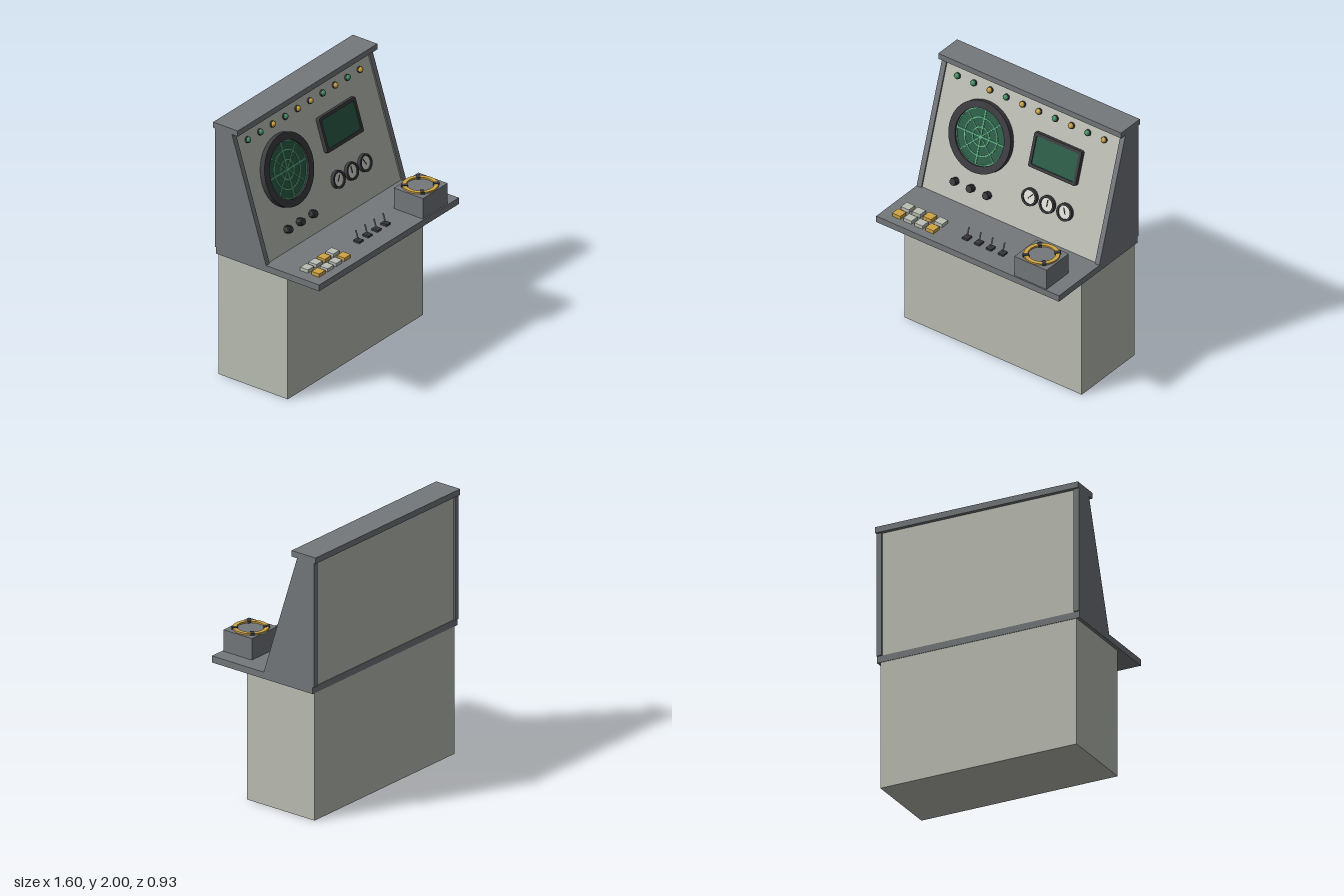
import * as THREE from 'three';

const mat = (name, color) => Object.assign(new THREE.MeshStandardMaterial({ color }), { name });

export function createModel() {
  const cream = mat('cream paint', 0xbcbfb5);
  const grey = mat('grey trim', 0x74787c);
  const dark = mat('dark plastic', 0x3c3c40);
  const screenGreen = mat('screen green', 0x2c5c48);
  const lineGreen = mat('trace green', 0x62b484);
  const lampGreen = mat('lamp green', 0x479468);
  const amber = mat('amber', 0xcfa444);
  const white = mat('dial white', 0xdcdcd4);
  const metal = mat('lever metal', 0x96999c);

  const root = new THREE.Group();
  root.name = 'controlConsole';

  const add = (parent, name, geo, material, x = 0, y = 0, z = 0) => {
    const m = new THREE.Mesh(geo, material);
    m.name = name;
    m.position.set(x, y, z);
    parent.add(m);
    return m;
  };
  // box given by its minimum and maximum corners
  const span = (name, material, x0, x1, y0, y1, z0, z1) =>
    add(root, name, new THREE.BoxGeometry(x1 - x0, y1 - y0, z1 - z0), material,
      (x0 + x1) / 2, (y0 + y1) / 2, (z0 + z1) / 2);
  // side profile of [z, y] points, extruded across x
  const profile = (name, material, pts, x0, x1) => {
    const shape = new THREE.Shape(pts.map(([z, y]) => new THREE.Vector2(-z, y)));
    const geo = new THREE.ExtrudeGeometry(shape, { depth: x1 - x0, bevelEnabled: false });
    geo.rotateY(Math.PI / 2); // shape x becomes -z, depth becomes +x
    return add(root, name, geo, material, x0);
  };
  // flat ring facing +z
  const ringGeo = (outer, inner, depth, seg = 24) => {
    const s = new THREE.Shape().absarc(0, 0, outer, 0, Math.PI * 2);
    s.holes.push(new THREE.Path().absarc(0, 0, inner, 0, Math.PI * 2, true));
    return new THREE.ExtrudeGeometry(s, { depth, bevelEnabled: false, curveSegments: seg });
  };
  // disc standing on z = 0 and facing +z
  const discGeo = (r, depth, seg = 32, rTop = r) =>
    new THREE.CylinderGeometry(rTop, r, depth, seg).rotateX(Math.PI / 2).translate(0, 0, depth / 2);
  const roundRect = (S, w, h, r) => {
    const s = new S();
    s.absarc(w / 2 - r, h / 2 - r, r, 0, Math.PI / 2);
    s.absarc(-w / 2 + r, h / 2 - r, r, Math.PI / 2, Math.PI);
    s.absarc(-w / 2 + r, -h / 2 + r, r, Math.PI, Math.PI * 1.5);
    s.absarc(w / 2 - r, -h / 2 + r, r, Math.PI * 1.5, Math.PI * 2);
    s.closePath();
    return s;
  };

  // Housing
  span('cabinet', cream, -0.775, 0.775, 0, 0.965, -0.436, 0.17);
  span('desk', grey, -0.8, 0.8, 0.965, 1.015, -0.44, 0.465);
  span('topCap', grey, -0.8, 0.8, 1.955, 2, -0.465, -0.25);
  profile('instrumentHousing', cream,
    [[-0.012, 1.015], [-0.312, 1.955], [-0.436, 1.955], [-0.436, 1.015]], -0.76, 0.76);
  for (const x of [-0.8, 0.76]) {
    profile('sidePanel', grey, [[0, 1.015], [-0.3, 1.955], [-0.45, 1.955], [-0.45, 1.015]], x, x + 0.04);
  }

  // Sloped instrument panel: local z is the panel normal
  const tilt = Math.atan2(0.3, 0.94);
  const panel = new THREE.Group();
  panel.name = 'instrumentPanel';
  panel.position.set(0, 1.015, -0.012);
  panel.rotation.x = -tilt;
  root.add(panel);
  const mount = (name, x, y) => {
    const g = new THREE.Group();
    g.name = name;
    g.position.set(x, (y - 1.015) / Math.cos(tilt), 0);
    panel.add(g);
    return g;
  };

  // Round radar scope
  const radar = mount('radar', -0.355, 1.527);
  add(radar, 'radarBezel', ringGeo(0.265, 0.21, 0.04, 32), dark);
  add(radar, 'radarScreen', discGeo(0.211, 0.02, 48), screenGreen);
  for (const r of [0.07, 0.14, 0.207]) {
    add(radar, 'radarRing', ringGeo(r + 0.004, r - 0.004, 0.004), lineGreen, 0, 0, 0.02);
  }
  for (let i = 0; i < 4; i++) {
    const w = i % 2 ? 0.006 : 0.01;
    add(radar, 'radarSpoke', new THREE.BoxGeometry(0.416, w, 0.004), lineGreen, 0, 0, 0.022)
      .rotation.z = i * Math.PI / 4;
  }

  // Rectangular monitor
  const monitor = mount('monitor', 0.283, 1.598);
  const frame = roundRect(THREE.Shape, 0.415, 0.262, 0.015);
  frame.holes.push(roundRect(THREE.Path, 0.37, 0.214, 0.012));
  add(monitor, 'monitorFrame',
    new THREE.ExtrudeGeometry(frame, { depth: 0.032, bevelEnabled: false, curveSegments: 4 }), dark);
  add(monitor, 'monitorScreen', new THREE.BoxGeometry(0.38, 0.224, 0.024), screenGreen, 0, 0, 0.012);

  // Dials
  [-0.7, 0, 0.45].forEach((angle, i) => {
    const dial = mount('dial', 0.13 + i * 0.1535, 1.266);
    add(dial, 'dialBezel', ringGeo(0.065, 0.05, 0.026, 16), dark);
    add(dial, 'dialFace', discGeo(0.051, 0.016), white);
    const needle = add(dial, 'dialNeedle',
      new THREE.BoxGeometry(0.006, 0.05, 0.004).translate(0, 0.01, 0), dark, 0, 0, 0.018);
    needle.rotation.z = angle;
  });

  // Ribbed knobs
  for (const x of [-0.497, -0.355, -0.212]) {
    const knob = mount('knob', x, 1.153);
    add(knob, 'knobBody', discGeo(0.027, 0.045, 20, 0.025), dark);
    for (let i = 0; i < 10; i++) {
      const a = i * Math.PI / 5;
      add(knob, 'knobRib', new THREE.BoxGeometry(0.006, 0.006, 0.036), dark,
        0.026 * Math.cos(a), 0.026 * Math.sin(a), 0.02).rotation.z = a;
    }
  }

  // Row of indicator lamps
  [...'GGAGAAGAGA'].forEach((c, i) => {
    const lamp = mount('lamp', -0.652 + i * 0.1427, 1.857);
    add(lamp, 'lampSocket', discGeo(0.024, 0.012, 20), dark);
    add(lamp, 'lampLens',
      new THREE.SphereGeometry(0.021, 20, 8, 0, Math.PI * 2, 0, Math.PI / 2).rotateX(Math.PI / 2),
      c === 'G' ? lampGreen : amber, 0, 0, 0.01);
  });

  // Desk push buttons, back row then front row
  ['WWAW', 'AWWA'].forEach((row, r) => [...row].forEach((c, i) => {
    add(root, 'pushButton', new THREE.BoxGeometry(0.07, 0.026, 0.068), c === 'A' ? amber : cream,
      -0.676 + i * 0.097, 1.028, 0.264 + r * 0.099);
  }));

  // Toggle switches leaning back
  for (let i = 0; i < 4; i++) {
    const sw = new THREE.Group();
    sw.name = 'toggleSwitch';
    sw.position.set(-0.132 + i * 0.104, 1.015, 0.297);
    root.add(sw);
    add(sw, 'switchBase', new THREE.BoxGeometry(0.046, 0.016, 0.052), dark, 0, 0.008, 0);
    add(sw, 'switchLever', new THREE.CylinderGeometry(0.006, 0.005, 0.075, 10).translate(0, 0.0375, 0),
      metal, 0, 0.012, 0).rotation.x = -0.3;
  }

  // Raised box with a guard ring held by four clips
  span('guardBox', grey, 0.402, 0.684, 1.015, 1.177, 0.2, 0.455);
  const guard = new THREE.Group();
  guard.name = 'guardRing';
  guard.position.set(0.543, 1.177, 0.324);
  root.add(guard);
  add(guard, 'ring', ringGeo(0.127, 0.097, 0.012, 24).rotateX(-Math.PI / 2), amber);
  for (let i = 0; i < 4; i++) {
    const a = Math.PI / 4 + i * Math.PI / 2;
    add(guard, 'ringClip', new THREE.BoxGeometry(0.045, 0.016, 0.028), dark,
      0.112 * Math.cos(a), 0.008, 0.112 * Math.sin(a)).rotation.y = -a;
  }

  return root;
}
